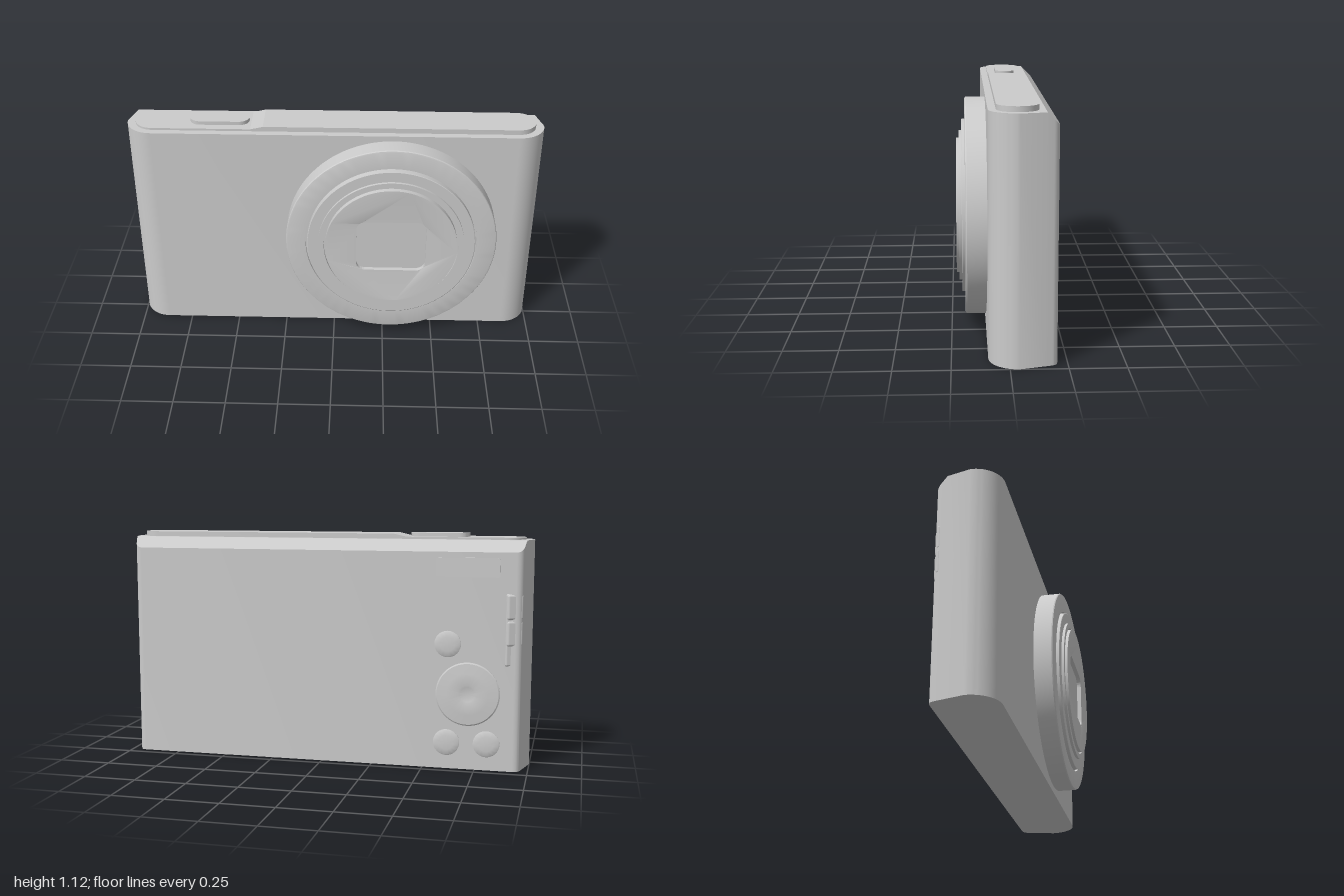
import * as THREE from 'three';
import { toCreasedNormals } from 'three/addons/utils/BufferGeometryUtils.js';
import { RoundedBoxGeometry } from 'three/addons/geometries/RoundedBoxGeometry.js';

const grey = new THREE.MeshStandardMaterial({ color: 0xcccccc });
const BACK = -0.206;

function part(name, geometry, parent, x = 0, y = 0, z = 0) {
  const mesh = new THREE.Mesh(geometry, grey);
  mesh.name = name;
  mesh.position.set(x, y, z);
  parent.add(mesh);
  return mesh;
}

// Upright prism over an outline of [x, z] points; top(x, z) gives the upper height.
function prism(outline, y0, top) {
  const shape = new THREE.Shape(outline.map(([x, z]) => new THREE.Vector2(x, -z)));
  const geo = new THREE.ExtrudeGeometry(shape, { depth: 1, bevelEnabled: false });
  geo.rotateX(-Math.PI / 2);
  const p = geo.attributes.position;
  for (let i = 0; i < p.count; i++) {
    p.setY(i, p.getY(i) > 0.5 ? top(p.getX(i), p.getZ(i)) : y0);
  }
  return toCreasedNormals(geo, 0.5);
}

// Points of an arc in the [x, z] plane.
function arc(cx, cz, r, a0, a1, n = 16) {
  return Array.from({ length: n + 1 }, (_, i) => {
    const a = a0 + (a1 - a0) * i / n;
    return [cx + r * Math.cos(a), cz + r * Math.sin(a)];
  });
}

const mirrored = (half) => [...half, ...half.map(([x, z]) => [-x, z]).reverse()];

// Turned part, its axis along z.
function turned(profile, facing, segments = 64) {
  const geo = new THREE.LatheGeometry(profile.map(([r, h]) => new THREE.Vector2(r, h)), segments);
  geo.rotateX(facing * Math.PI / 2);
  return toCreasedNormals(geo, 0.5);
}

function roundedRect(path, w, h, r) {
  const x = w / 2 - r, y = h / 2 - r;
  path.absarc(x, y, r, 0, Math.PI / 2);
  path.absarc(-x, y, r, Math.PI / 2, Math.PI);
  path.absarc(-x, -y, r, Math.PI, Math.PI * 1.5);
  path.absarc(x, -y, r, Math.PI * 1.5, Math.PI * 2);
  path.closePath();
  return path;
}

function buildBody(group) {
  const body = new THREE.Group();
  body.name = 'body';
  group.add(body);
  const fold = -0.152;
  // Rounded front corners, sides tapering to the back
  const front = mirrored([...arc(0.87, -0.04, 0.13, Math.PI / 2, 0), [0.97, fold]]);
  part('bodyShell', prism(front, 0, () => 1.09), body);
  // Rear slice with the sloped upper edge
  const bend = new THREE.QuadraticBezierCurve(
    new THREE.Vector2(0.962, -0.18), new THREE.Vector2(0.955, BACK), new THREE.Vector2(0.92, BACK));
  const rear = mirrored([[0.97, fold], ...bend.getPoints(8).map((v) => [v.x, v.y])]);
  part('bodyBack', prism(rear, 0, (x, z) => 1.09 - (fold - z)), body);
}

function buildTop(group) {
  const r = 0.09, cz = -0.034, cx = 0.96 - r;
  const low = 1.1, high = 1.114, x0 = -0.4, x1 = -0.34;
  const plate = new THREE.Group();
  plate.name = 'topPlate';
  group.add(plate);
  // Low end, ramp and raised end
  const left = [...arc(-cx, cz, r, Math.PI / 2, Math.PI * 1.5), [x0, cz - r], [x0, cz + r]];
  const ramp = [[x0, cz + r], [x0, cz - r], [x1, cz - r], [x1, cz + r]];
  const right = [...arc(cx, cz, r, -Math.PI / 2, Math.PI / 2), [x1, cz + r], [x1, cz - r]];
  part('topPlateLow', prism(left, 1.08, () => low), plate);
  part('topPlateRamp', prism(ramp, 1.08, (x) => low + (high - low) * (x - x0) / (x1 - x0)), plate);
  part('topPlateHigh', prism(right, 1.08, () => high), plate);
  // Shutter button
  const button = [
    ...arc(-0.46, cz, 0.05, -Math.PI / 2, Math.PI / 2),
    ...arc(-0.645, cz, 0.05, Math.PI / 2, Math.PI * 1.5)];
  part('shutterButton', prism(button, 1.09, () => 1.118), group);
}

function buildLens(group) {
  const lens = new THREE.Group();
  lens.name = 'lens';
  lens.position.set(0.28, 0.55, 0);
  group.add(lens);
  // Stepped barrel with a thin groove inside the outer ring
  part('lensBarrel', turned([
    [0.515, 0.08], [0.515, 0.178], [0.512, 0.183], [0.506, 0.185], [0.419, 0.185], [0.419, 0.17],
    [0.411, 0.17], [0.411, 0.198], [0.408, 0.2], [0.357, 0.2], [0.357, 0.213],
    [0.329, 0.213], [0.329, 0.196], [0, 0.196]], 1, 96), lens);
  // Front disc, dished slightly towards a rounded window
  const disc = new THREE.Shape().absarc(0, 0, 0.322, 0, Math.PI * 2);
  disc.holes.push(roundedRect(new THREE.Path(), 0.34, 0.28, 0.045));
  const geo = new THREE.ExtrudeGeometry(disc, { depth: 0.03, bevelEnabled: false, curveSegments: 36 });
  const p = geo.attributes.position;
  for (let i = 0; i < p.count; i++) {
    if (p.getZ(i) > 0.01 && Math.hypot(p.getX(i), p.getY(i)) < 0.3) p.setZ(i, 0.022);
  }
  part('lensFrontDisc', toCreasedNormals(geo, 0.5), lens, 0, 0, 0.195);
}

function buildControls(group) {
  // Control dial with a small dip at its hub
  part('controlDial', turned([
    [0.152, -0.01], [0.152, 0.004], [0.146, 0.008], [0.1, 0.012], [0.045, 0.016],
    [0.035, 0.013], [0, 0.012]], -1), group, -0.713, 0.365, BACK);
  // Domed buttons
  for (const [x, y] of [[-0.615, 0.602], [-0.615, 0.128], [-0.805, 0.128]]) {
    part('backButton', turned([
      [0.063, -0.01], [0.063, 0.003], [0.058, 0.006], [0.035, 0.009], [0, 0.011]], -1, 32),
    group, x, y, BACK);
  }
  // Long button under the top edge
  const bar = new THREE.ExtrudeGeometry(roundedRect(new THREE.Shape(), 0.3, 0.09, 0.012),
    { depth: 0.03, bevelEnabled: false, curveSegments: 4 });
  part('playButton', toCreasedNormals(bar, 0.5), group, -0.705, 0.965, BACK - 0.01);

  // Sliding switch set into the back corner
  const slider = new THREE.Group();
  slider.name = 'modeSwitch';
  slider.position.set(-0.925, 0.675, -0.195);
  slider.rotation.y = 0.42;
  group.add(slider);
  part('switchBed', new RoundedBoxGeometry(0.085, 0.34, 0.02, 3, 0.009), slider, 0, 0, 0.006);
  for (const y of [0.108, -0.016]) {
    part('switchKnob', new RoundedBoxGeometry(0.08, 0.12, 0.03, 3, 0.012), slider, 0, y, 0.004);
  }
}

export function createModel() {
  const group = new THREE.Group();
  group.name = 'compactCamera';
  buildBody(group);
  buildTop(group);
  buildLens(group);
  buildControls(group);
  return group;
}
